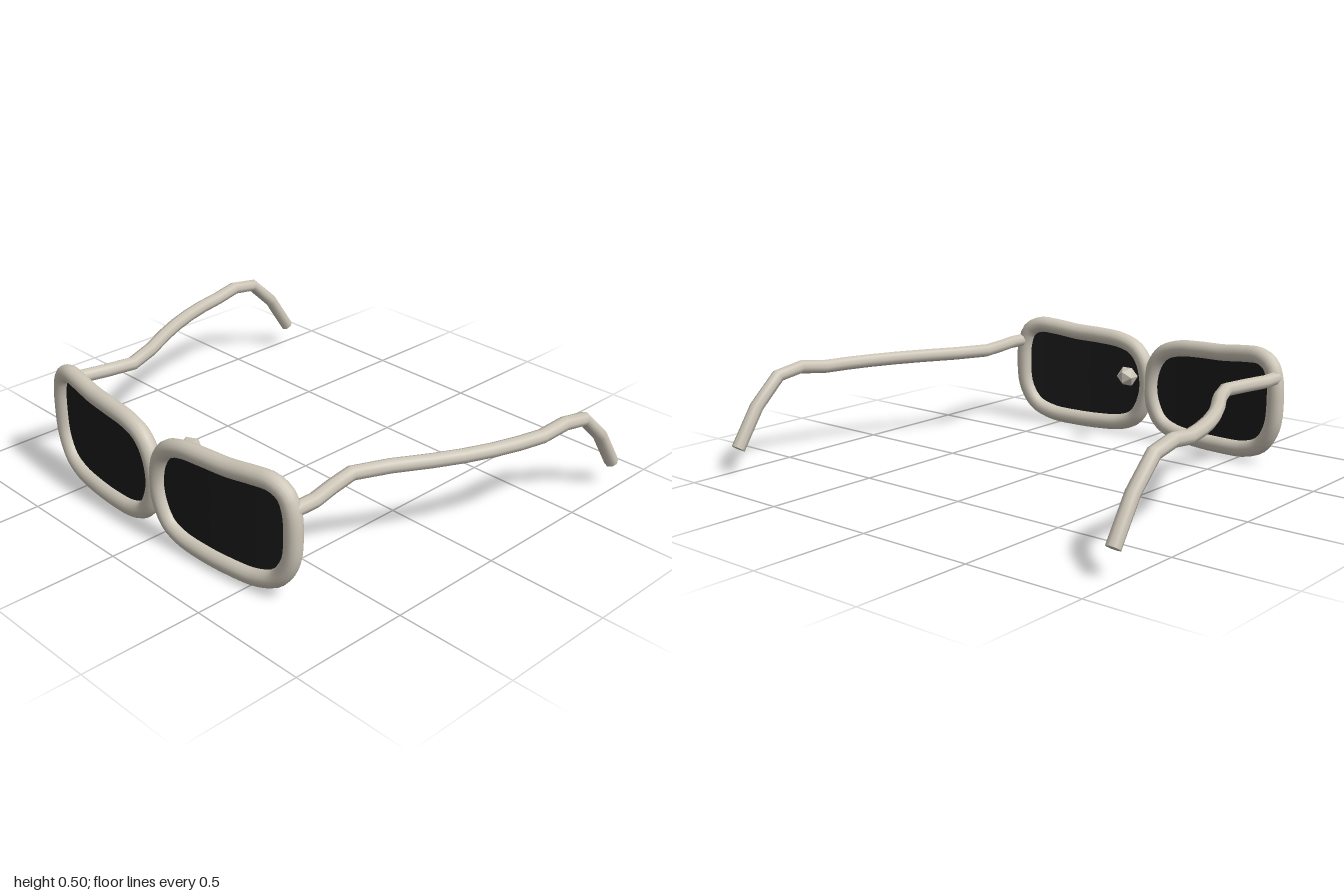
import * as THREE from 'three';

const cream = new THREE.MeshStandardMaterial({ color: 0xcdc6b8 });
cream.name = 'creamFrame';
const creamFlat = cream;
const dark = new THREE.MeshStandardMaterial({ color: 0x1c1c1c, side: THREE.DoubleSide });
dark.name = 'darkLens';

// forward bow of the whole front
const bow = (x) => 0.778 - 0.13 * x * x;

// centreline of one rim, [x, y]
const RIM = [
  [0.01, 0.25], [0.032, 0.35], [0.08, 0.41], [0.16, 0.439], [0.28, 0.449], [0.4, 0.453],
  [0.52, 0.466], [0.6, 0.468], [0.655, 0.44], [0.68, 0.385], [0.688, 0.29], [0.675, 0.17],
  [0.62, 0.085], [0.53, 0.049], [0.4, 0.04], [0.27, 0.042], [0.15, 0.055], [0.075, 0.088], [0.028, 0.16],
];

// centreline of one temple arm, [x, y, z]
const ARM = [
  [0.688, 0.387, 0.715], [0.69, 0.387, 0.62], [0.665, 0.387, 0.51], [0.645, 0.387, 0.39],
  [0.705, 0.387, 0.25], [0.785, 0.387, 0.11], [0.84, 0.387, 0], [0.885, 0.387, -0.11],
  [0.92, 0.387, -0.22], [0.945, 0.387, -0.33], [0.959, 0.403, -0.45], [0.965, 0.383, -0.57],
  [0.967, 0.27, -0.69], [0.968, 0.11, -0.795],
];

// straight-segment path with mitred bends
class Polyline extends THREE.Curve {
  constructor(points) {
    super();
    this.points = points;
  }
  getPoint(t, target = new THREE.Vector3()) {
    const n = this.points.length - 1;
    const i = Math.min(Math.floor(t * n + 1e-6), n - 1);
    return target.lerpVectors(this.points[i], this.points[i + 1], t * n - i);
  }
  getPointAt(t, target) {
    return this.getPoint(t, target);
  }
  getTangentAt(t, target = new THREE.Vector3()) {
    const p = this.points, n = p.length - 1, i = Math.round(t * n);
    const step = (a, b) => p[b].clone().sub(p[a]).normalize();
    target.set(0, 0, 0);
    if (i > 0) target.add(step(i - 1, i));
    if (i < n) target.add(step(i, i + 1));
    return target.normalize();
  }
}

function add(parent, name, geometry, material) {
  const mesh = new THREE.Mesh(geometry, material);
  mesh.name = name;
  parent.add(mesh);
  return mesh;
}

// curved lens made of concentric rings inside the rim outline
function lensGeometry(outline) {
  const rings = 6, n = outline.length, pos = [], index = [];
  const c = new THREE.Vector3();
  outline.forEach((p) => c.addScaledVector(p, 1 / n));
  for (let r = 0; r <= rings; r++) {
    for (const p of outline) {
      const q = c.clone().lerp(p, r / rings);
      pos.push(q.x, q.y, bow(q.x));
    }
  }
  for (let r = 0; r < rings; r++) {
    for (let i = 0; i < n; i++) {
      const j = (i + 1) % n, a = r * n + i, b = r * n + j;
      index.push(a, a + n, b + n, a, b + n, b);
    }
  }
  const g = new THREE.BufferGeometry();
  g.setAttribute('position', new THREE.Float32BufferAttribute(pos, 3));
  g.setIndex(index);
  g.computeVertexNormals();
  return g;
}

function buildSide(s, side) {
  const group = new THREE.Group();
  group.name = side + 'Side';

  // rim and lens; the right side runs the outline backwards to keep its facing
  const rimPoints = RIM.map(([x, y]) => new THREE.Vector3(s * x, y, bow(x)));
  if (s > 0) rimPoints.reverse();
  const rimCurve = new THREE.CatmullRomCurve3(rimPoints, true, 'centripetal');
  add(group, side + 'Rim', new THREE.TubeGeometry(rimCurve, 72, 0.036, 14, true), cream);
  add(group, side + 'Lens', lensGeometry(rimCurve.getSpacedPoints(72).slice(0, 72)), dark);

  // temple arm, bent outwards and hooked down behind the ear
  const armPoints = ARM.map(([x, y, z]) => new THREE.Vector3(s * x, y, z));
  const arm = new Polyline(armPoints);
  add(group, side + 'Temple', new THREE.TubeGeometry(arm, ARM.length - 1, 0.029, 8, false), cream);

  // closed tip of the arm
  const cap = add(group, side + 'TempleTip', new THREE.CircleGeometry(0.029, 8), cream);
  const end = armPoints[armPoints.length - 1];
  cap.position.copy(end);
  cap.lookAt(end.clone().add(arm.getTangentAt(1)));
  return group;
}

export function createModel() {
  const model = new THREE.Group();
  model.name = 'sunglasses';
  model.add(buildSide(1, 'left'), buildSide(-1, 'right'));

  // small faceted bead behind the bridge
  const bead = add(model, 'noseBead', new THREE.IcosahedronGeometry(0.047, 0), creamFlat);
  bead.position.set(0, 0.318, 0.608);
  return model;
}
